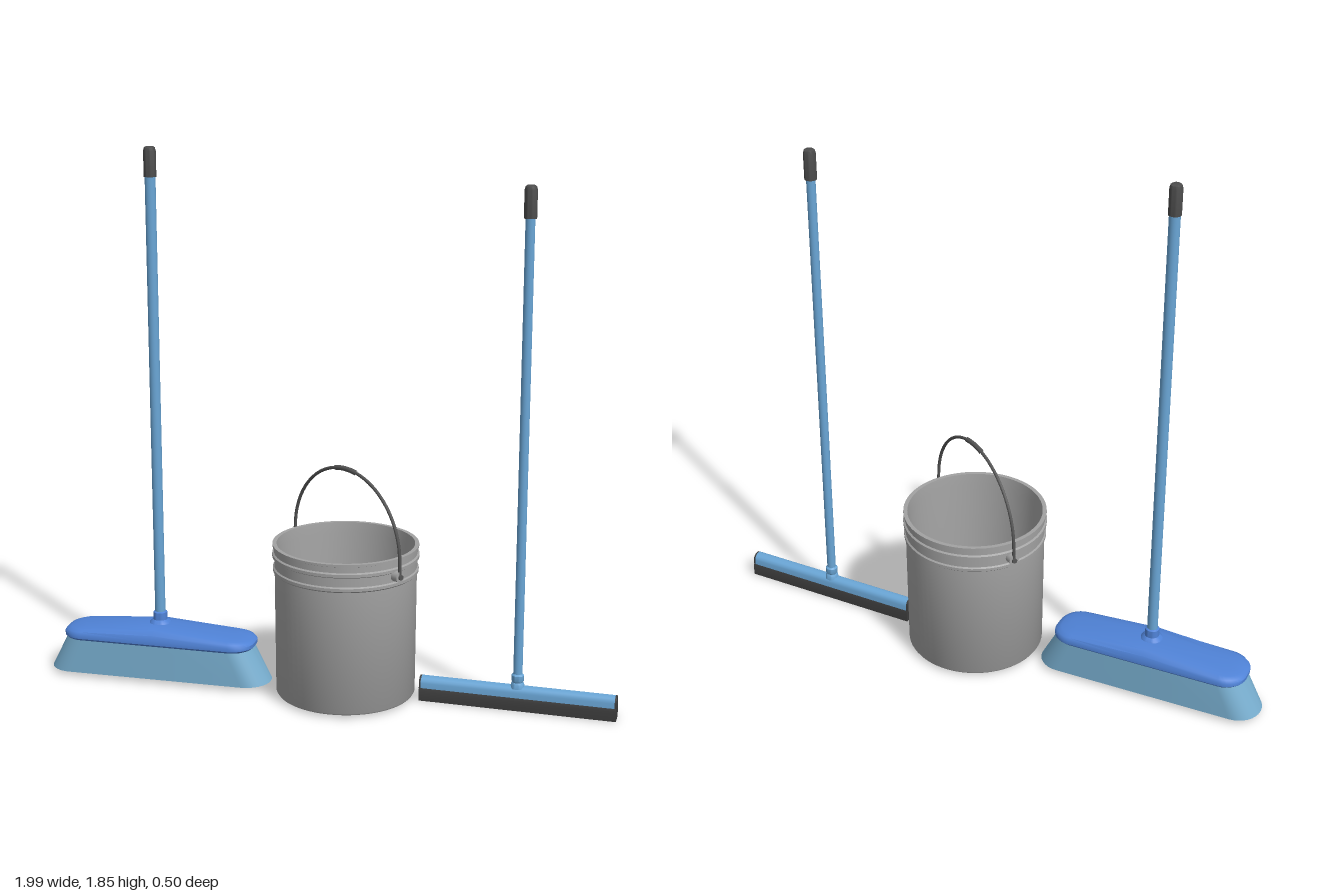
import * as THREE from 'three';
import { toCreasedNormals } from 'three/addons/utils/BufferGeometryUtils.js';

const mat = (name, color, double) => {
  const m = new THREE.MeshStandardMaterial({ color });
  m.name = name;
  if (double) m.side = THREE.DoubleSide;
  return m;
};

function mesh(name, geo, material, parent, x = 0, y = 0, z = 0) {
  const m = new THREE.Mesh(geo, material);
  m.name = name;
  m.position.set(x, y, z);
  parent.add(m);
  return m;
}

function lathe(profile, segments = 32, crease = 0.6) {
  const pts = profile.map(([r, y]) => new THREE.Vector2(r, y));
  return toCreasedNormals(new THREE.LatheGeometry(pts, segments), crease);
}

// Rounded rectangle in plan, with a midpoint on each long side
function roundedLoop(hx, hz, radius) {
  const r = Math.min(radius, hz, hx), pts = [];
  [[1, 1], [-1, 1], [-1, -1], [1, -1]].forEach(([sx, sz], c) => {
    for (let i = 0; i <= 8; i++) {
      const a = (c + i / 8) * Math.PI / 2;
      pts.push([sx * (hx - r) + r * Math.cos(a), -(sz * (hz - r) + r * Math.sin(a))]);
    }
    if (c === 0) pts.push([0, -hz]);
    if (c === 2) pts.push([0, hz]);
  });
  return pts;
}

// Skin of stacked loops: [half length, half depth, corner radius, height, rise at the middle]
function loft(rings, crease = 0.5) {
  const pos = [], idx = [];
  let n = 0;
  for (const [hx, hz, r, y, rise = 0] of rings) {
    const loop = roundedLoop(hx, hz, r);
    n = loop.length;
    for (const [x, z] of loop) pos.push(x, y + rise * (1 - Math.abs(x) / 0.345), z);
  }
  for (let k = 0; k < rings.length - 1; k++) {
    for (let i = 0; i < n; i++) {
      const a = k * n + i, b = k * n + (i + 1) % n;
      idx.push(a, b, a + n, b, b + n, a + n);
    }
  }
  const g = new THREE.BufferGeometry();
  g.setAttribute('position', new THREE.Float32BufferAttribute(pos, 3));
  g.setIndex(idx);
  return toCreasedNormals(g, crease);
}

// Cross-section in z and y, extruded along x and centred
function bar(section, length) {
  const shape = new THREE.Shape(section.map(([z, y]) => new THREE.Vector2(z, y)));
  const g = new THREE.ExtrudeGeometry(shape, { depth: length, bevelEnabled: false });
  g.translate(0, 0, -length / 2);
  g.rotateY(Math.PI / 2);
  return toCreasedNormals(g, 0.6);
}

export function createModel() {
  const model = new THREE.Group();
  model.name = 'cleaningSet';
  const poleBlue = mat('pole blue', 0x6aa6d6);
  const headBlue = mat('head blue', 0x4f82d6);
  const bristleBlue = mat('bristle blue', 0x78aecf);
  const bucketGrey = mat('bucket grey', 0xa2a2a2, true);
  const tipGrey = mat('bristle tip grey', 0xb0b0b0);
  const wireGrey = mat('wire grey', 0x555555);
  const dark = mat('dark rubber', 0x3c3c3c);
  const gripGrey = mat('grip grey', 0x4c4c4c);

  // Pole with a rounded hand grip on top
  function pole(parent, radius, y0, y1, top) {
    mesh('pole', new THREE.CylinderGeometry(radius, radius, y1 - y0, 24), poleBlue, parent, 0, (y0 + y1) / 2);
    mesh('grip', lathe([[0, y1], [0.021, y1], [0.021, top - 0.015], [0.018, top - 0.004], [0.012, top], [0, top]], 24),
      gripGrey, parent);
  }

  // Broom
  const broom = new THREE.Group();
  broom.name = 'broom';
  broom.position.x = -0.6;
  model.add(broom);
  mesh('bristles', loft([[0.31, 0, 0, 0.015], [0.4, 0.088, 0.085, 0.015], [0.335, 0.084, 0.075, 0.14]]),
    bristleBlue, broom);
  mesh('bristleTips', loft([[0.3, 0, 0, 0.013], [0.385, 0.075, 0.072, 0.013], [0.385, 0.075, 0.072, 0.016]]),
    tipGrey, broom);
  mesh('broomHead', loft([
    [0.3, 0, 0, 0.135], [0.338, 0.085, 0.07, 0.135], [0.345, 0.091, 0.075, 0.142],
    [0.345, 0.091, 0.075, 0.154], [0.338, 0.085, 0.07, 0.162, 0.012],
    [0.325, 0.07, 0.06, 0.166, 0.025], [0.3, 0.035, 0.035, 0.167, 0.033], [0.28, 0, 0, 0.167, 0.035],
  ], 0.7), headBlue, broom);
  mesh('broomSocket', lathe([[0.042, 0.19], [0.036, 0.202], [0.025, 0.21], [0.024, 0.236], [0.017, 0.24]], 24),
    headBlue, broom);
  pole(broom, 0.018, 0.2, 1.75, 1.85);

  // Bucket
  const bucket = new THREE.Group();
  bucket.name = 'bucket';
  bucket.position.set(0.065, 0, -0.005);
  model.add(bucket);
  mesh('bucketBody', lathe([
    [0, 0.01], [0.234, 0.01], [0.238, 0.016], [0.241, 0.44],
    [0.247, 0.445], [0.247, 0.455], [0.242, 0.459], [0.242, 0.49],
    [0.249, 0.494], [0.249, 0.504], [0.243, 0.508], [0.243, 0.528],
    [0.248, 0.53], [0.248, 0.538], [0.234, 0.538], [0.23, 0.5], [0.214, 0.03], [0, 0.03],
  ], 64), bucketGrey, bucket);

  // Wire bail and its ears, set across the bucket diagonally
  const bail = new THREE.Group();
  bail.name = 'bail';
  bail.rotation.y = -0.61;
  bucket.add(bail);
  const R = 0.264;
  const arc = (a0, a1, n) => Array.from({ length: n + 1 }, (_, i) => {
    const a = a0 + (a1 - a0) * i / n;
    return new THREE.Vector3(R * Math.cos(a), 0.53 + R * Math.sin(a), 0);
  });
  const wire = new THREE.CatmullRomCurve3([
    new THREE.Vector3(R, 0.48, 0), ...arc(0, Math.PI, 16), new THREE.Vector3(-R, 0.48, 0)]);
  mesh('bailWire', new THREE.TubeGeometry(wire, 64, 0.0055, 8), wireGrey, bail);
  const gripCurve = new THREE.CatmullRomCurve3(arc(1.37, 1.77, 6));
  mesh('bailGrip', new THREE.TubeGeometry(gripCurve, 12, 0.0085, 12), wireGrey, bail);
  for (const s of [-1, 1]) {
    const ear = mesh('bailEar', new THREE.CylinderGeometry(0.018, 0.018, 0.028, 20), bucketGrey, bail, s * 0.253, 0.48);
    ear.rotation.z = Math.PI / 2;
    const pin = mesh('bailPin', new THREE.CylinderGeometry(0.009, 0.009, 0.012, 12), wireGrey, bail, s * 0.267, 0.48);
    pin.rotation.z = Math.PI / 2;
  }

  // Squeegee, turned slightly
  const squeegee = new THREE.Group();
  squeegee.name = 'squeegee';
  squeegee.position.set(0.66, 0, 0.004);
  squeegee.rotation.y = -0.04;
  model.add(squeegee);
  mesh('rubberBlade', bar([[-0.026, 0], [0.026, 0], [0.026, 0.035], [0.022, 0.046], [-0.022, 0.046], [-0.026, 0.035]], 0.668),
    dark, squeegee);
  const hood = [[-0.024, 0.045], [0.024, 0.045]];
  for (let i = 0; i <= 8; i++) {
    const a = Math.PI * i / 8;
    hood.push([0.023 * Math.cos(a), 0.062 + 0.021 * Math.sin(a)]);
  }
  mesh('squeegeeBar', bar(hood, 0.656), poleBlue, squeegee);
  for (const s of [-1, 1]) mesh('endCap', bar(hood, 0.006), dark, squeegee, s * 0.331);
  mesh('squeegeeSocket', lathe([[0.024, 0.075], [0.022, 0.09], [0.018, 0.096], [0.021, 0.102], [0.021, 0.12], [0.015, 0.126]], 24),
    poleBlue, squeegee);
  pole(squeegee, 0.0155, 0.08, 1.65, 1.755);

  return model;
}
